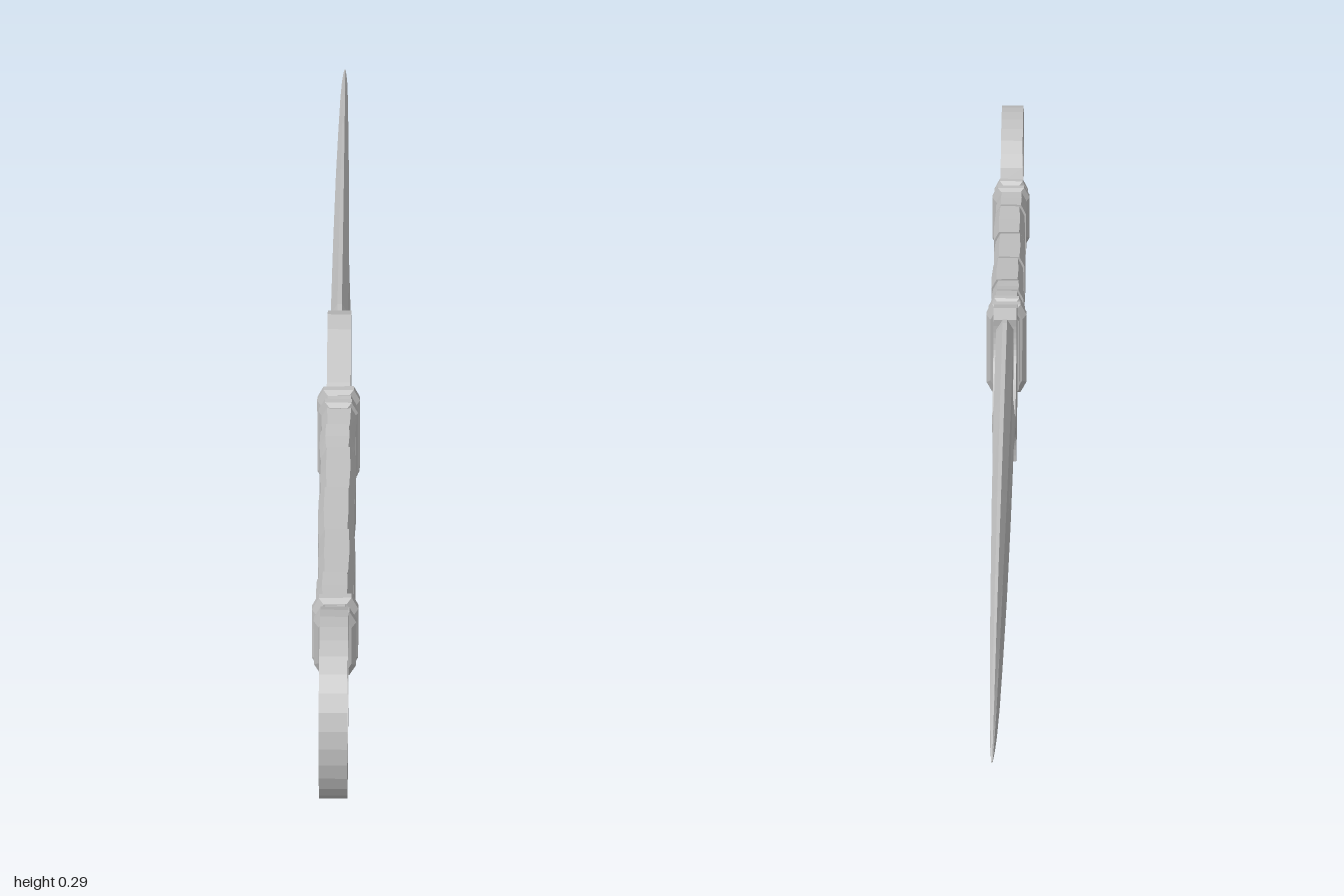
import * as THREE from 'three';

const CY = 0.148; // height of the centre line
const steel = new THREE.MeshStandardMaterial({ color: 0xbebebe });
steel.name = 'steel grey';

// Skin a row of closed cross-sections running from +z to -z, with faceted normals
function loft(rings) {
  const pos = [];
  const tri = (a, b, c) => pos.push(...a, ...b, ...c);
  const n = rings[0].length;
  for (let i = 0; i < rings.length - 1; i++) {
    for (let j = 0; j < n; j++) {
      const k = (j + 1) % n, a = rings[i], b = rings[i + 1];
      tri(a[j], b[j], a[k]);
      tri(b[j], b[k], a[k]);
    }
  }
  const last = rings[rings.length - 1];
  for (let j = 1; j < n - 1; j++) {
    tri(rings[0][0], rings[0][j], rings[0][j + 1]);
    tri(last[0], last[j + 1], last[j]);
  }
  const g = new THREE.BufferGeometry();
  g.setAttribute('position', new THREE.Float32BufferAttribute(pos, 3));
  g.computeVertexNormals();
  return g;
}

// Bevelled rectangular section; slant leans it along z, dx shifts it sideways
function section(z, w, h, cx, cy, slant = 0, dx = 0) {
  const p = [[w, -h + cy], [w, h - cy], [w - cx, h], [cx - w, h],
    [-w, h - cy], [-w, cy - h], [cx - w, -h], [w - cx, -h]];
  return p.map(([x, y]) => [x + dx, y + CY, z + slant * y + slant * x * 0.5]);
}

// Extrude a side outline drawn in (-z, y) to a slab centred on x = 0
function slab(shape, width) {
  const g = new THREE.ExtrudeGeometry(shape, { depth: width, bevelEnabled: false, curveSegments: 16 });
  g.translate(0, 0, -width / 2);
  g.rotateY(Math.PI / 2);
  return g;
}

export function createModel() {
  const group = new THREE.Group();
  const add = (name, geometry) => {
    const m = new THREE.Mesh(geometry, steel);
    m.name = name;
    group.add(m);
    return m;
  };

  // Pommel ring
  const ring = new THREE.Shape().absarc(-0.863, CY, 0.137, 0, Math.PI * 2);
  ring.holes.push(new THREE.Path().absarc(-0.863, CY, 0.1, 0, Math.PI * 2, true));
  add('pommelRing', slab(ring, 0.04));

  // Handle core
  add('handleCore', loft([
    section(0.74, 0.02, 0.055, 0.006, 0.01),
    section(0.45, 0.022, 0.05, 0.006, 0.01),
    section(0.17, 0.022, 0.075, 0.006, 0.01),
  ]));

  // Overlapping handle wraps, each a little wider at one end
  const stops = [0.7, 0.63, 0.53, 0.42, 0.33, 0.27, 0.2];
  const heights = [0.056, 0.054, 0.052, 0.055, 0.061, 0.068, 0.078];
  for (let i = 0; i < stops.length - 1; i++) {
    const side = i % 2 ? 1 : -1;
    add('handleWrap', loft([
      section(stops[i] + 0.006, 0.026, heights[i] + 0.001, 0.009, 0.018, 0.06 * side, 0.001 * side),
      section((stops[i] + stops[i + 1]) / 2, 0.028, (heights[i] + heights[i + 1]) / 2 + 0.002, 0.009, 0.018, 0.02 * side, 0.001 * side),
      section(stops[i + 1], 0.027, heights[i + 1] + 0.004, 0.009, 0.018, -0.06 * side, 0.001 * side),
    ]));
  }

  // Cord bindings at both ends of the handle
  const cords = [[0.725, 0.031, 0.062, 0.05], [0.702, 0.034, 0.063, -0.07],
    [0.221, 0.031, 0.083, 0.06], [0.2, 0.034, 0.087, -0.04]];
  for (const [z, w, h, slant] of cords) {
    add('cordBinding', loft([
      section(z + 0.011, w - 0.007, h - 0.007, 0.01, 0.02, slant),
      section(z + 0.005, w, h, 0.01, 0.02, slant),
      section(z - 0.005, w, h, 0.01, 0.02, slant),
      section(z - 0.011, w - 0.007, h - 0.007, 0.01, 0.02, slant),
    ]));
  }

  // Guard with concave front edges that run into the blade ridge
  const guard = new THREE.Shape();
  guard.moveTo(-0.21, CY + 0.075);
  guard.lineTo(-0.185, CY + 0.09);
  guard.lineTo(-0.1, CY + 0.135);
  guard.lineTo(-0.07, CY + 0.144);
  guard.lineTo(-0.045, CY + 0.135);
  guard.bezierCurveTo(-0.05, CY + 0.07, -0.01, CY + 0.04, 0.06, CY + 0.015);
  guard.lineTo(0.06, CY - 0.015);
  guard.bezierCurveTo(-0.01, CY - 0.04, -0.05, CY - 0.07, -0.045, CY - 0.135);
  guard.lineTo(-0.07, CY - 0.144);
  guard.lineTo(-0.1, CY - 0.135);
  guard.lineTo(-0.185, CY - 0.09);
  guard.lineTo(-0.21, CY - 0.075);
  guard.closePath();
  add('guard', slab(guard, 0.038));

  // Blade: flat faces with narrow bevels, tapering to the point
  const profile = [[0.055, 0.134, 0.0145], [0.03, 0.138, 0.0145], [-0.2, 0.124, 0.0135],
    [-0.45, 0.106, 0.0115], [-0.65, 0.083, 0.009], [-0.8, 0.058, 0.007],
    [-0.9, 0.034, 0.005], [-0.96, 0.015, 0.003], [-1, 0.001, 0.001]];
  add('blade', loft(profile.map(([z, h, t]) => section(z, t, h, t * 0.75, h * 0.14))));

  // Raised central ridge fading into the blade
  add('bladeRidge', loft([
    section(0.03, 0.019, 0.04, 0.006, 0.026),
    section(-0.06, 0.019, 0.032, 0.006, 0.02),
    section(-0.2, 0.0155, 0.016, 0.003, 0.012),
    section(-0.36, 0.012, 0.003, 0.001, 0.002),
  ]));

  return group;
}
